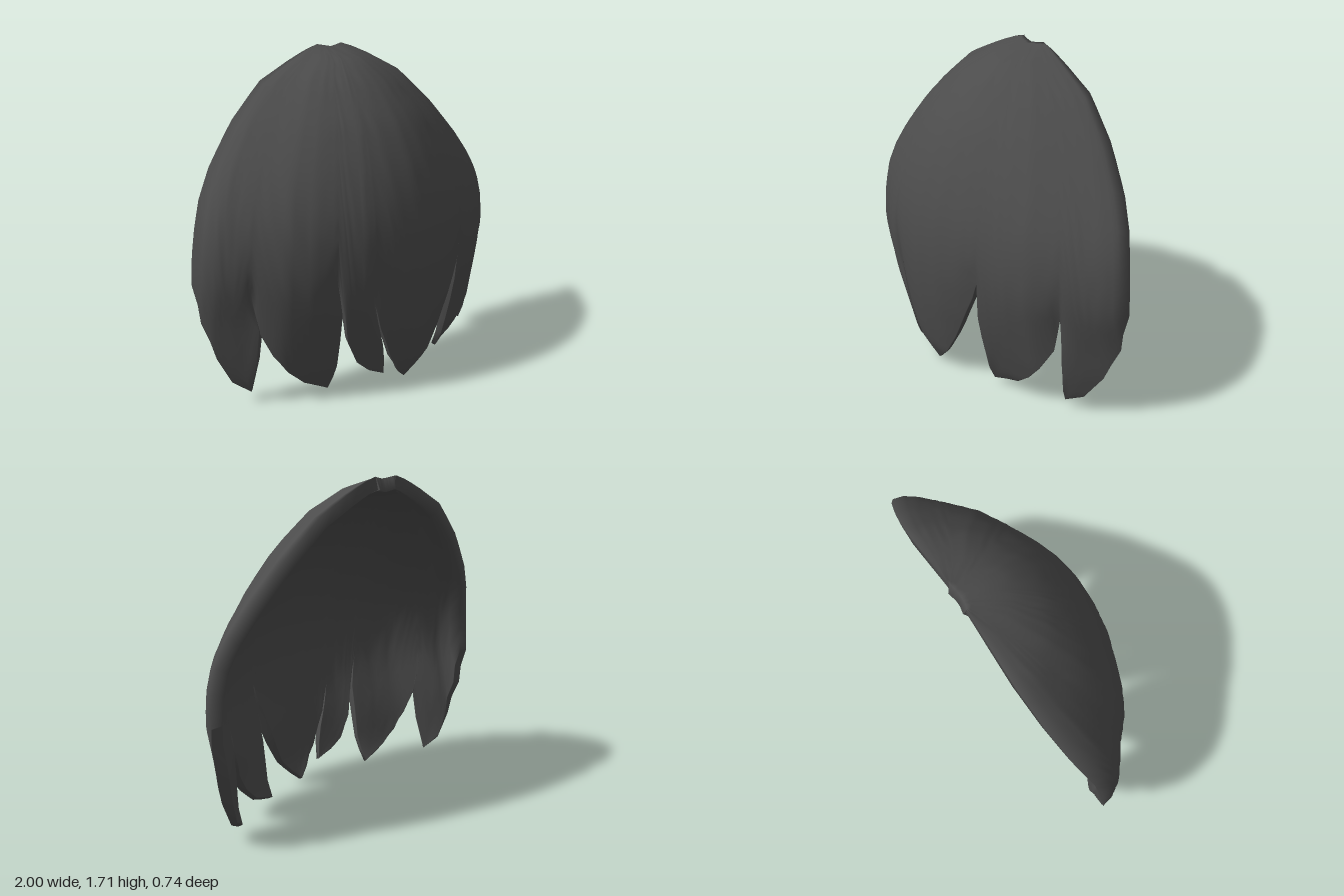
import * as THREE from 'three';

// Shell profile by height: [y, half width, z at the centre, z at the back rim]
const PROFILE = [
  [1.71, 0.08, -0.345, -0.36], [1.69, 0.15, -0.27, -0.36], [1.65, 0.25, -0.14, -0.36],
  [1.55, 0.46, 0.005, -0.356], [1.37, 0.66, 0.165, -0.325], [1.18, 0.82, 0.265, -0.28],
  [1.04, 0.91, 0.315, -0.24], [0.92, 0.96, 0.345, -0.208], [0.78, 0.99, 0.362, -0.196],
  [0.64, 1, 0.365, -0.195], [0.44, 1, 0.35, -0.26], [0.25, 1, 0.32, -0.3],
  [0.11, 1, 0.29, -0.35], [0, 1, 0.235, -0.41],
];

// Forward bulge across the shell: [s, share of the way from back rim to centre]
const SECTION = [
  [-1, 0], [-0.985, 0.12], [-0.95, 0.23], [-0.82, 0.42], [-0.69, 0.63], [-0.58, 0.745], [-0.47, 0.825],
  [-0.33, 0.92], [-0.17, 0.98], [0, 1], [0.15, 0.97], [0.3, 0.895], [0.4, 0.825], [0.53, 0.73],
  [0.66, 0.615], [0.82, 0.39], [0.94, 0.2], [0.985, 0.1], [1, 0],
];

// Lower outline of each lock, from its left root round the tip to its right root
const LOCKS = [
  [[-1, 0.64], [-0.975, 0.44], [-0.92, 0.25], [-0.85, 0.11], [-0.77, 0.05], [-0.775, 0.4], [-0.82, 0.57]],
  [[-0.82, 0.57], [-0.78, 0.4], [-0.72, 0.27], [-0.65, 0.17], [-0.56, 0.09], [-0.42, 0.02], [-0.41, 0.16], [-0.43, 0.45], [-0.47, 0.66]],
  [[-0.47, 0.66], [-0.42, 0.45], [-0.38, 0.29], [-0.32, 0.17], [-0.25, 0.11], [-0.16, 0.07], [-0.2, 0.25], [-0.24, 0.38], [-0.275, 0.52]],
  [[-0.275, 0.52], [-0.22, 0.34], [-0.14, 0.16], [-0.06, 0.05], [0, 0], [0.06, 0.05], [0.14, 0.13], [0.22, 0.26], [0.29, 0.4], [0.37, 0.57], [0.395, 0.66]],
  [[0.395, 0.66], [0.38, 0.45], [0.37, 0.2], [0.36, 0.03], [0.51, 0.08], [0.6, 0.16], [0.67, 0.25], [0.74, 0.38], [0.78, 0.57]],
  [[0.78, 0.57], [0.77, 0.4], [0.755, 0.2], [0.735, 0.05], [0.82, 0.1], [0.91, 0.25], [0.975, 0.44], [1, 0.64]],
];

const TOP = 1.71, SPLIT = 0.75, ROWS = 24, SUB = 2, THICKNESS = 0.065;
const { lerp, clamp, smoothstep } = THREE.MathUtils;

// Interpolates a table whose first entries run steadily up or down
function lookup(table, v) {
  const dir = Math.sign(table[1][0] - table[0][0]);
  let i = 0;
  while (i < table.length - 2 && (v - table[i + 1][0]) * dir > 0) i++;
  const a = table[i], b = table[i + 1];
  const k = clamp((v - a[0]) / (b[0] - a[0]), 0, 1);
  return a.slice(1).map((value, c) => lerp(value, b[c + 1], k));
}

// Point of the outer skin at sideways share s (-1 to 1) and height y
function surface(s, y) {
  const [w, zc, zb] = lookup(PROFILE, y);
  // the locks on either side of the middle one curl in at their tips
  const curl = 0.045 * Math.exp(-Math.pow((Math.abs(s) - 0.42) / 0.2, 2)) * (1 - smoothstep(y, 0.05, 0.6));
  return new THREE.Vector3(s * w, y, lerp(zb, zc, lookup(SECTION, s)[0]) - curl);
}

// Inward-outward direction, turned level with the back plane along the rim
function outward(s, y) {
  const across = surface(Math.min(s + 0.06, 1), y).sub(surface(Math.max(s - 0.06, -1), y));
  const up = surface(s, Math.min(y + 0.05, TOP)).sub(surface(s, Math.max(y - 0.05, 0)));
  const n = across.cross(up).normalize();
  n.z *= 1 - Math.pow(Math.abs(s), 6);
  return n.normalize();
}

// Every column runs from the crown to one point of the outline; locks share root columns
function makeColumns() {
  const columns = [];
  LOCKS.forEach((pts, n) => {
    const steps = (pts.length - 1) * SUB;
    for (let i = n ? 1 : 0; i <= steps; i++) {
      const j = Math.min(Math.floor(i / SUB), pts.length - 2), k = i / SUB - j;
      const u = (2 * i) / steps - 1;
      const onRim = (n === 0 && u < 0) || (n === LOCKS.length - 1 && u > 0);
      columns.push({
        s: lerp(pts[0][0], pts[pts.length - 1][0], i / steps),
        x: lerp(pts[j][0], pts[j + 1][0], k),
        y: lerp(pts[j][1], pts[j + 1][1], k),
        edge: onRim ? 0 : Math.pow(u, 4),
      });
    }
  });
  return columns;
}

function makeShell() {
  const columns = makeColumns(), n = columns.length, stride = ROWS + 1, count = n * stride;
  const id = (c, r) => c * stride + r;
  const outer = [], inner = [], faces = [];

  // Outer skin rounded off towards the gaps, and an inner one that closes in at the tips
  columns.forEach((col) => {
    for (let r = 0; r <= ROWS; r++) {
      const t = r / ROWS;
      const y = lerp(TOP, col.y, (1 - Math.cos(Math.PI * t)) / 2);
      const s = lerp(col.s, col.x, Math.pow(clamp((SPLIT - y) / (SPLIT - col.y), 0, 1), 3));
      const p = surface(s, y), out = outward(s, y);
      p.y -= 0.014 * (1 - Math.abs(s)) * Math.max(0, 1 - t * 8);
      const depth = THICKNESS * lerp(0.35, 1, smoothstep(y, 0, 0.4));
      const round = 0.5 * depth * col.edge * (1 - smoothstep(y, 0.5, 0.85));
      inner.push(...p.clone().addScaledVector(out, -depth).toArray());
      outer.push(...p.addScaledVector(out, -round).toArray());
    }
  });
  for (let c = 0; c < n - 1; c++) {
    for (let r = 0; r < ROWS; r++) {
      const a = id(c, r), b = id(c, r + 1), d = id(c + 1, r + 1), e = id(c + 1, r);
      faces.push(a, b, d, a, d, e);
      faces.push(a + count, d + count, b + count, a + count, e + count, d + count);
    }
  }

  // Rim joining both skins all the way round
  const loop = [];
  for (let r = 0; r < ROWS; r++) loop.push(id(0, r));
  for (let c = 0; c < n - 1; c++) loop.push(id(c, ROWS));
  for (let r = ROWS; r > 0; r--) loop.push(id(n - 1, r));
  for (let c = n - 1; c > 0; c--) loop.push(id(c, 0));
  loop.forEach((p, i) => {
    const q = loop[(i + 1) % loop.length];
    faces.push(q, p, p + count, q, p + count, q + count);
  });

  const shell = new THREE.BufferGeometry();
  shell.setAttribute('position', new THREE.Float32BufferAttribute([...outer, ...inner], 3));
  shell.setIndex(faces);
  shell.computeVertexNormals();
  return shell;
}

export function createModel() {
  const group = new THREE.Group();
  group.name = 'hairFringe';
  const hair = new THREE.MeshStandardMaterial({ color: 0x4c4c4c, side: THREE.DoubleSide });
  hair.name = 'charcoal hair';
  const mesh = new THREE.Mesh(makeShell(), hair);
  mesh.name = 'fringeShell';
  group.add(mesh);
  return group;
}
